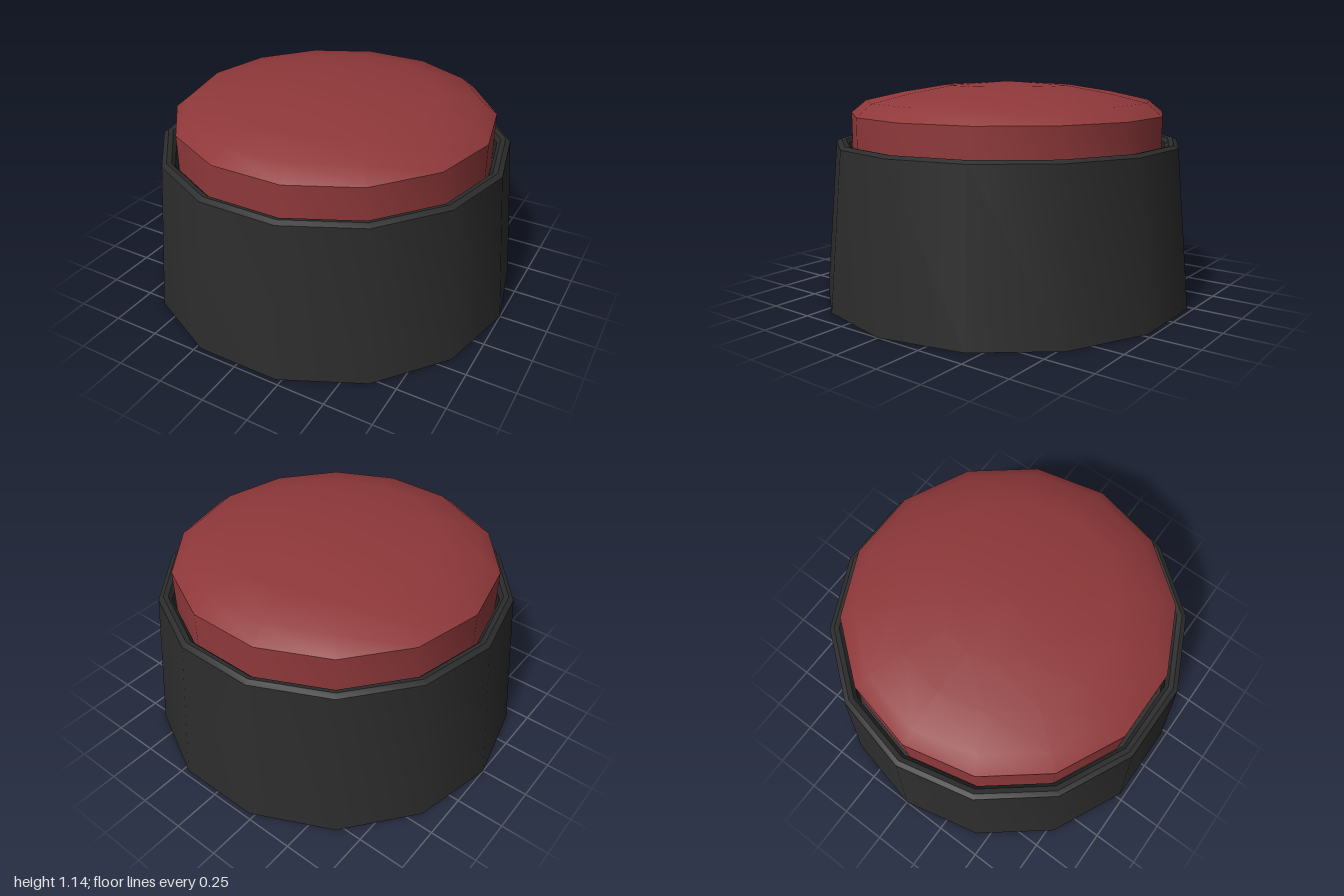
import * as THREE from 'three';
import { toCreasedNormals } from 'three/addons/utils/BufferGeometryUtils.js';

const SIDES = 14;

// Revolves a profile of [radius, height] pairs, with a corner on the x axis
function turned(name, profile, color) {
  const points = profile.map(([r, y]) => new THREE.Vector2(r, y));
  const lathe = new THREE.LatheGeometry(points, SIDES).rotateY(Math.PI / 2);
  const geometry = toCreasedNormals(lathe, THREE.MathUtils.degToRad(30));
  const mesh = new THREE.Mesh(geometry, new THREE.MeshStandardMaterial({ color }));
  mesh.name = name;
  return mesh;
}

export function createModel() {
  const model = new THREE.Group();
  model.name = 'pushButton';

  // Tapered housing with a bevelled rim and a recess for the cap
  model.add(turned('housing', [
    [0, 0], [1, 0], [0.925, 0.82], [0.9, 0.835], [0.875, 0.83],
    [0.857, 0.81], [0.857, 0.7], [0, 0.7],
  ], 0x2c2c2c));

  // Cap with a straight wall, bevelled edge and shallow dome
  model.add(turned('buttonCap', [
    [0.84, 0.7], [0.84, 0.975], [0.76, 1.04], [0.56, 1.085],
    [0.33, 1.122], [0, 1.14],
  ], 0x8f383a));

  return model;
}
